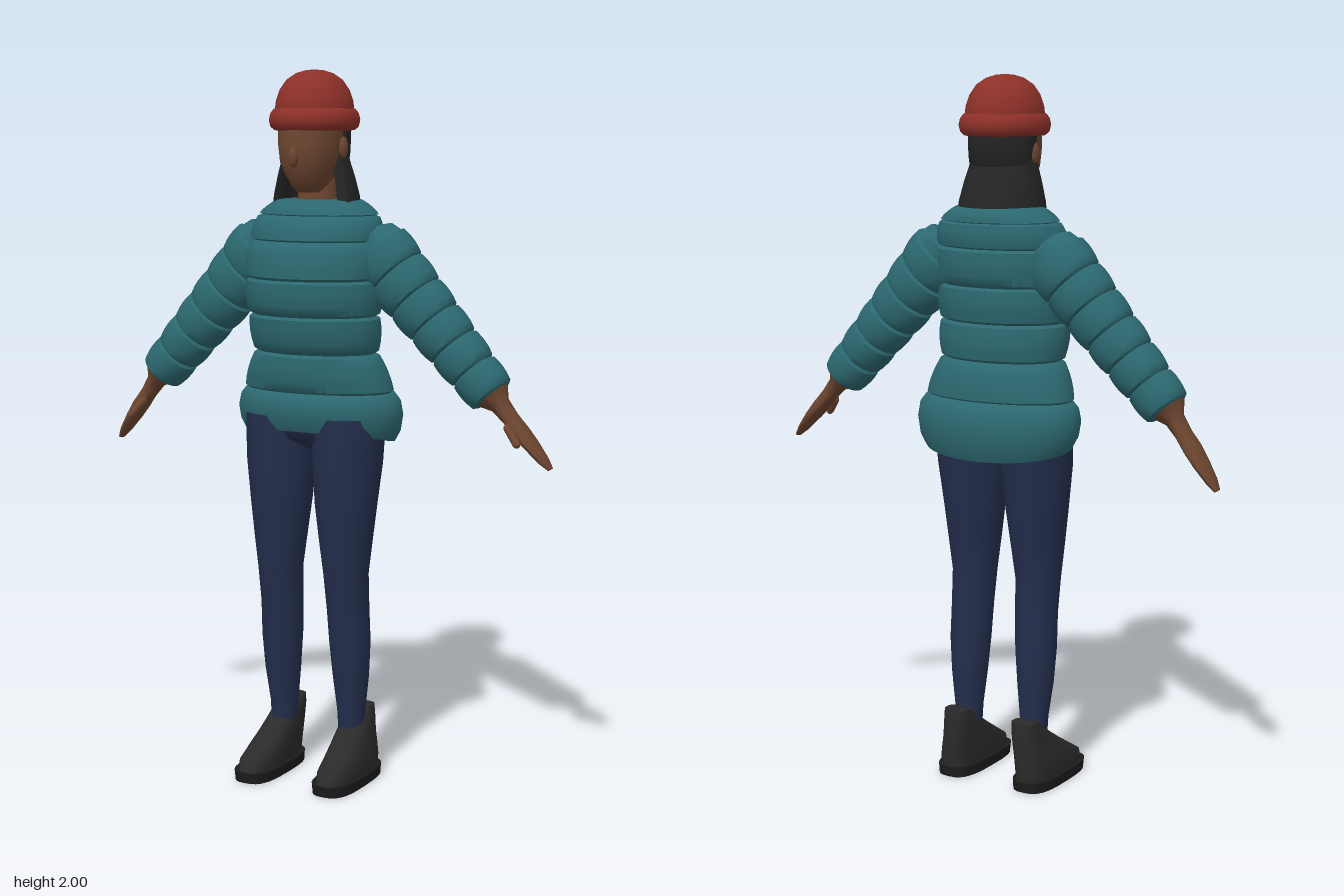
import * as THREE from 'three';
import { toCreasedNormals } from 'three/addons/utils/BufferGeometryUtils.js';

const mat = (name, color, side = THREE.FrontSide) => {
  const m = new THREE.MeshStandardMaterial({ color, side });
  m.name = name;
  return m;
};

// Unit cross-sections: a superellipse, and a C-shaped shell open at the front
const oval = (p = 1) => (u) => {
  const a = u * Math.PI * 2, c = Math.cos(a), s = Math.sin(a);
  return [Math.sign(c) * Math.abs(c) ** p, Math.sign(s) * Math.abs(s) ** p];
};
const shell = (open, inner) => (u) => {
  const out = u < 0.5, t = out ? u * 2 : 2 - u * 2;
  const a = Math.PI - open + t * (Math.PI + 2 * open), r = out ? 1 : inner;
  return [Math.cos(a) * r, Math.sin(a) * r];
};

// Skin cross-sections, listed upwards: [y, centreX, halfWidth, zFront, zBack, tilt]
function loft(rows, { ring = oval(), n = 32, caps = true, crease = 0.8 } = {}) {
  const pos = [], idx = [];
  for (const [y, cx, hw, zf, zb, tilt = 0] of rows)
    for (let j = 0; j < n; j++) {
      const [c, s] = ring(j / n);
      const z = (zf + zb) / 2 + s * (zf - zb) / 2;
      pos.push(cx + c * hw, y + tilt * z, z);
    }
  for (let i = 0; i < rows.length - 1; i++)
    for (let j = 0; j < n; j++) {
      const a = i * n + j, b = i * n + (j + 1) % n;
      idx.push(a, a + n, b, b, a + n, b + n);
    }
  if (caps) {
    for (const end of [0, rows.length - 1]) {
      const [y, cx, , zf, zb, tilt = 0] = rows[end], z = (zf + zb) / 2;
      const k = pos.length / 3, o = end * n;
      pos.push(cx, y + tilt * z, z);
      for (let j = 0; j < n; j++) {
        const a = o + j, b = o + (j + 1) % n;
        if (end === 0) idx.push(k, a, b);
        else idx.push(k, b, a);
      }
    }
  }
  const g = new THREE.BufferGeometry();
  g.setAttribute('position', new THREE.Float32BufferAttribute(pos, 3));
  g.setIndex(idx);
  return toCreasedNormals(g, crease);
}

// Turn seam rows into padded bands with grooves between them
function quilt(seams, groove, bulge) {
  const out = [];
  const steps = [[0, -groove], [0.07, 0], [0.3, bulge * 0.8], [0.5, bulge], [0.7, bulge * 0.8], [0.93, 0], [1, -groove]];
  for (let i = 0; i < seams.length - 1; i++)
    for (const [t, d] of steps) {
      if (i > 0 && t === 0) continue;
      const r = seams[i].map((v, k) => v + (seams[i + 1][k] - v) * t);
      out.push([r[0], r[1], r[2] + d, r[3] + d, r[4] - d, r[5]]);
    }
  return out;
}

export function createModel() {
  const red = mat('hat red', 0x8c3028), teal = mat('jacket teal', 0x2c6870);
  const navy = mat('trouser navy', 0x232e4c), skin = mat('skin brown', 0x6d4630);
  const black = mat('hair black', 0x252525, THREE.DoubleSide);
  const shoeBlack = mat('shoe black', 0x2a2a2a), soleBlack = mat('sole black', 0x1b1b1c);

  const model = new THREE.Group(), body = new THREE.Group();
  body.name = 'figure';
  body.position.x = -0.012;
  model.add(body);
  const add = (name, geo, m, parent = body) => {
    const mesh = new THREE.Mesh(geo, m);
    mesh.name = name;
    parent.add(mesh);
    return mesh;
  };

  // Quilted jacket
  add('jacketBody', loft(quilt([
    [1.115, 0, 0.228, 0.108, -0.162, 0],
    [1.225, 0, 0.185, 0.118, -0.14, 0],
    [1.33, 0, 0.193, 0.143, -0.14, 0],
    [1.43, 0, 0.199, 0.156, -0.147, 0],
    [1.535, 0, 0.193, 0.135, -0.157, 0],
    [1.605, 0, 0.178, 0.107, -0.157, 0],
    [1.648, 0, 0.118, 0.08, -0.14, 0],
  ], 0.012, 0.005), { n: 48 }), teal);
  add('jacketHem', loft([
    [0.99, 0, 0.19, 0.08, -0.14, 0.2],
    [0.99, 0, 0.225, 0.105, -0.17, 0.2],
    [1.02, 0, 0.242, 0.118, -0.185, 0.16],
    [1.06, 0, 0.249, 0.123, -0.19, 0.08],
    [1.095, 0, 0.242, 0.118, -0.184, 0.03],
    [1.115, 0, 0.225, 0.106, -0.168, 0],
    [1.122, 0, 0.19, 0.08, -0.14, 0],
  ], { n: 48 }), teal);

  // Trousers
  add('hips', loft([
    [0.955, 0, 0.06, 0.03, -0.07], [0.985, 0, 0.14, 0.085, -0.11],
    [1.03, 0, 0.2, 0.105, -0.13], [1.08, 0, 0.205, 0.1, -0.13],
  ]), navy);

  for (const s of [-1, 1]) {
    const side = s > 0 ? 'left' : 'right';

    add(side + 'Leg', loft([
      [0.12, s * 0.109, 0.036, 0.02, -0.06],
      [0.2, s * 0.109, 0.04, 0.025, -0.062],
      [0.3, s * 0.11, 0.051, 0.042, -0.068],
      [0.4, s * 0.109, 0.058, 0.054, -0.071],
      [0.5, s * 0.106, 0.059, 0.064, -0.068],
      [0.6, s * 0.105, 0.062, 0.08, -0.062],
      [0.7, s * 0.104, 0.074, 0.092, -0.076],
      [0.8, s * 0.103, 0.086, 0.101, -0.09],
      [0.92, s * 0.105, 0.097, 0.108, -0.108],
      [1.05, s * 0.106, 0.1, 0.11, -0.125],
    ]), navy);

    // Shoe with a flat sole
    add(side + 'Sole', loft([
      [0, s * 0.125, 0.06, 0.186, -0.108], [0.03, s * 0.125, 0.062, 0.19, -0.11],
    ], { ring: oval(0.65) }), soleBlack);
    add(side + 'Shoe', loft([
      [0.03, s * 0.125, 0.052, 0.184, -0.109],
      [0.055, s * 0.125, 0.054, 0.175, -0.11],
      [0.085, s * 0.122, 0.051, 0.125, -0.11],
      [0.115, s * 0.118, 0.047, 0.075, -0.11],
      [0.145, s * 0.115, 0.044, 0.028, -0.11],
      [0.175, s * 0.113, 0.041, -0.015, -0.109],
      [0.2, s * 0.112, 0.036, -0.05, -0.107],
    ], { ring: oval(0.75) }), shoeBlack);

    // Sleeve, built hanging down and swung outwards
    const L = 0.515, seams = [];
    for (let i = 6; i >= 0; i--) {
      const t = i / 6;
      seams.push([-L * t, 0, 0.098 - 0.034 * t, 0.08 - 0.015 * t, -0.08 + 0.015 * t, 0]);
    }
    const sleeveRows = quilt(seams, 0.009, 0.004);
    sleeveRows.push([0.03, 0, 0.08, 0.068, -0.068], [0.055, 0, 0.04, 0.035, -0.035]);
    const sleeve = add(side + 'Sleeve', loft(sleeveRows), teal);
    sleeve.position.set(s * 0.178, 1.51, -0.034);
    sleeve.rotation.z = s * 0.742;

    // Hand with thumb, reaching to the fingertips
    const dx = s > 0 ? 0.168 : 0.148, dy = s > 0 ? 0.19 : 0.204;
    const hand = new THREE.Group();
    hand.name = side + 'Hand';
    hand.position.set(s * 0.526, 1.132, -0.034);
    hand.rotation.z = s * Math.atan2(dx, dy);
    body.add(hand);
    add('palm', loft([
      [-0.254, 0, 0.006, 0.01, -0.018],
      [-0.225, 0, 0.012, 0.025, -0.03],
      [-0.17, 0, 0.017, 0.037, -0.04],
      [-0.125, 0, 0.021, 0.039, -0.038],
      [-0.08, 0, 0.022, 0.03, -0.03],
      [-0.035, 0, 0.027, 0.031, -0.031],
      [0.004, 0, 0.052, 0.056, -0.056],
    ], { n: 16 }), skin, hand);
    const thumb = add('thumb', new THREE.CapsuleGeometry(0.011, 0.055, 4, 10), skin, hand);
    thumb.position.set(-s * 0.012, -0.125, 0.04);
    thumb.rotation.x = -0.35;

    const ear = add(side + 'Ear', new THREE.SphereGeometry(1, 12, 8), skin);
    ear.scale.set(0.012, 0.03, 0.018);
    ear.position.set(s * 0.092, 1.79, 0.005);
  }

  // Head and neck
  add('neck', new THREE.CylinderGeometry(0.05, 0.06, 0.16, 20).translate(0, 1.68, -0.02), skin);
  add('head', loft([
    [1.668, 0, 0.03, 0.065, 0],
    [1.685, 0, 0.046, 0.087, -0.03],
    [1.71, 0, 0.062, 0.103, -0.055],
    [1.75, 0, 0.08, 0.121, -0.08],
    [1.8, 0, 0.088, 0.124, -0.095],
    [1.87, 0, 0.09, 0.118, -0.1],
  ], { crease: 1.2 }), skin);
  const nose = add('nose', new THREE.SphereGeometry(1, 12, 8), skin);
  nose.scale.set(0.015, 0.028, 0.016);
  nose.position.set(0, 1.765, 0.122);

  // Hair: close on the back of the head, then flaring over the shoulders
  add('scalpHair', loft([
    [1.735, 0, 0.08, 0.05, -0.085], [1.765, 0, 0.091, 0.07, -0.103],
    [1.81, 0, 0.096, 0.1, -0.11], [1.87, 0, 0.098, 0.12, -0.112],
  ], { ring: shell(0.1, 0.85), n: 48, caps: false }), black);
  add('longHair', loft([
    [1.635, 0, 0.12, 0.115, -0.143], [1.66, 0, 0.117, 0.112, -0.138],
    [1.71, 0, 0.107, 0.098, -0.118], [1.75, 0, 0.097, 0.085, -0.098],
    [1.785, 0, 0.09, 0.07, -0.085],
  ], { ring: shell(0.45, 0.8), n: 48, caps: false }), black);

  // Knitted hat with a rolled brim
  const dome = [[0.104, 1.87], [0.107, 1.89], [0.104, 1.915], [0.094, 1.945], [0.076, 1.972], [0.05, 1.99], [0.024, 1.998], [0, 2]];
  const brim = [[0.09, 1.84], [0.108, 1.836], [0.119, 1.846], [0.123, 1.864], [0.119, 1.882], [0.11, 1.894], [0.098, 1.898]];
  const lathe = (pts) => new THREE.LatheGeometry(pts.map((p) => new THREE.Vector2(...p)), 40);
  add('hatDome', lathe(dome), red).scale.z = 1.1;
  add('hatBrim', lathe(brim), red).scale.z = 1.1;
  return model;
}
